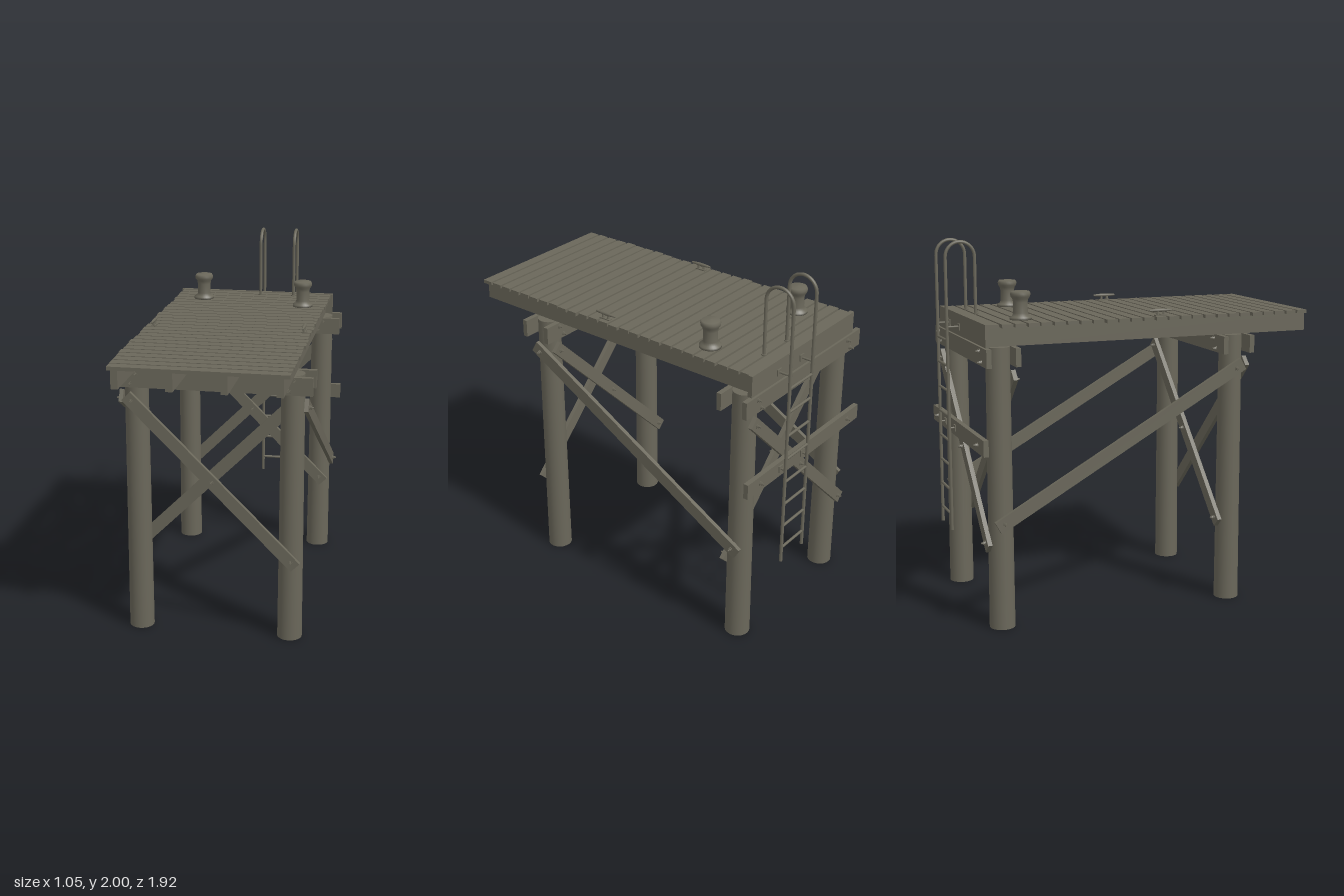
import * as THREE from 'three';

const weatheredTimber = new THREE.MeshStandardMaterial({ color: 0x6a675a });
weatheredTimber.name = 'weatheredTimber';

export function createModel() {
  const model = new THREE.Group();
  model.name = 'jetty';

  const add = (name, geometry, x = 0, y = 0, z = 0, parent = model) => {
    const mesh = new THREE.Mesh(geometry, weatheredTimber);
    mesh.name = name;
    mesh.position.set(x, y, z);
    parent.add(mesh);
    return mesh;
  };
  const box = (name, w, h, d, x, y, z, parent) =>
    add(name, new THREE.BoxGeometry(w, h, d), x, y, z, parent);

  // Straight round bar between two points
  const rod = (name, a, b, r, sides = 10) => {
    const from = new THREE.Vector3(...a), to = new THREE.Vector3(...b);
    const dir = to.clone().sub(from);
    const mesh = add(name, new THREE.CylinderGeometry(r, r, dir.length(), sides));
    mesh.position.copy(from).add(to).multiplyScalar(0.5);
    mesh.quaternion.setFromUnitVectors(new THREE.Vector3(0, 1, 0), dir.normalize());
    return mesh;
  };

  // Bolt: washer, hex nut and shank end, pointing along dir on the x or z axis
  const bolt = (x, y, z, dx, dz) => {
    const at = (d) => [x + dx * d, y, z + dz * d];
    rod('washer', at(-0.002), at(0.004), 0.013, 12);
    rod('nut', at(0.004), at(0.013), 0.009, 6);
    rod('boltEnd', at(0.013), at(0.022), 0.005, 8);
  };

  let seed = 7;
  const jitter = () => {
    seed = (seed * 16807) % 2147483647;
    return seed / 2147483647 - 0.5;
  };

  const pileX = [-0.418, 0.41];
  const pileZ = [0.508, -0.805];
  const pileR = 0.064;
  const deckY = 1.605;

  // Piles
  for (const x of pileX) for (const z of pileZ)
    add('pile', new THREE.CylinderGeometry(pileR - 0.002, pileR + 0.004, 1.49, 20), x, 0.745, z);

  // Paired cap beams, clamped on both sides of each row of piles
  for (const z of pileZ) for (const s of [1, -1]) {
    box('capBeam', 1.05, 0.095, 0.027, -0.003, 1.443, z + s * 0.077);
    for (const x of pileX) {
      bolt(x + 0.015, 1.468, z + s * 0.0905, 0, s);
      bolt(x - 0.015, 1.415, z + s * 0.0905, 0, s);
    }
  }

  // Diagonal cross braces on the front and back rows
  for (const z of pileZ) for (const s of [1, -1]) {
    // slope -1 runs from the top at -x to the bottom at +x
    const brace = box('crossBrace', 1.277, 0.066, 0.024, -0.006, 0.893, z + s * 0.076);
    const slope = z > 0 ? -s : s < 0 ? 1 : -1;
    brace.rotation.z = slope * Math.PI / 4;
    for (const t of [-0.425, 0, 0.425])
      bolt(-0.006 + t, 0.893 + slope * t, z + s * 0.088, 0, s);
  }

  // Long diagonal side braces
  for (const s of [-1, 1]) {
    const x = s > 0 ? 0.485 : -0.493;
    const dz = 1.39, dy = 0.777;
    const brace = box('sideBrace', 0.022, 0.07, Math.hypot(dz, dy), x, 0.946, -0.146);
    brace.rotation.x = -Math.atan2(dy, dz);
    bolt(x + s * 0.011, 1.31, 0.51, s, 0);
    bolt(x + s * 0.011, 0.577, -0.805, s, 0);
  }

  // Horizontal back waler
  box('waler', 1.05, 0.085, 0.027, -0.003, 0.988, -0.906);
  for (const x of pileX) bolt(x, 0.988, -0.9195, 0, -1);

  // Deck stringers and back fascia
  for (const x of [-0.415, -0.14, 0.132, 0.405])
    box('stringer', 0.036, 0.096, 1.815, x, 1.538, 0.049);
  box('backFascia', 0.935, 0.117, 0.024, -0.003, 1.5495, -0.871);

  // Deck planks with slightly uneven ends
  const count = 26, pitch = 0.0706, width = 0.058;
  for (let i = 0; i < count; i++) {
    const plank = box('plank', 0.912 + jitter() * 0.014, 0.019, width,
      -0.004 + jitter() * 0.012, deckY - 0.0095, 0.96 - width / 2 - i * pitch);
    plank.rotation.y = jitter() * 0.005;
  }

  // Mooring bollards
  const bollard = [[0, 0], [0.058, 0], [0.058, 0.013], [0.045, 0.018], [0.038, 0.035],
    [0.038, 0.09], [0.042, 0.108], [0.051, 0.12], [0.053, 0.135], [0.047, 0.147], [0, 0.151]]
    .map(([r, y]) => new THREE.Vector2(r, y));
  for (const [x, z] of [[-0.288, -0.64], [0.323, -0.525]])
    add('bollard', new THREE.LatheGeometry(bollard, 28), x, deckY, z);

  // Mooring cleats: foot plate, two legs and a tapered horn bar
  const hornProfile = [[0, -0.067], [0.005, -0.064], [0.009, -0.02], [0.009, 0.02], [0.005, 0.064], [0, 0.067]]
    .map(([r, y]) => new THREE.Vector2(r, y));
  for (const x of pileX) {
    const cleat = new THREE.Group();
    cleat.name = 'cleat';
    cleat.position.set(x, deckY, 0.095);
    box('cleatFoot', 0.024, 0.006, 0.066, 0, 0.003, 0, cleat);
    for (const s of [-1, 1])
      add('cleatLeg', new THREE.CylinderGeometry(0.006, 0.008, 0.026, 8), 0, 0.016, s * 0.017, cleat);
    add('cleatHorn', new THREE.LatheGeometry(hornProfile, 10), 0, 0.03, 0, cleat).rotation.x = Math.PI / 2;
    model.add(cleat);
  }

  // Ladder with hooped handrails
  const ladderX = [0.032, 0.233], backZ = -0.951, frontZ = -0.791, tube = 0.009;
  const hoopR = (frontZ - backZ) / 2, hoopY = 2 - tube - hoopR;
  const path = new THREE.CurvePath();
  const points = [];
  for (let i = 0; i <= 20; i++) {
    const a = Math.PI * i / 20;
    points.push(new THREE.Vector3(0, hoopY + hoopR * Math.sin(a), (backZ + frontZ) / 2 - hoopR * Math.cos(a)));
  }
  path.add(new THREE.LineCurve3(new THREE.Vector3(0, 0.42, backZ), points[0]));
  for (let i = 0; i < 20; i++) path.add(new THREE.LineCurve3(points[i], points[i + 1]));
  path.add(new THREE.LineCurve3(points[20], new THREE.Vector3(0, deckY - 0.005, frontZ)));
  for (const x of ladderX) {
    add('ladderRail', new THREE.TubeGeometry(path, 160, tube, 10), x);
    rod('railEnd', [x, 0.418, backZ], [x, 0.424, backZ], tube);
    rod('railFoot', [x, deckY, frontZ], [x, deckY + 0.006, frontZ], 0.015, 12);
    // Stand-offs to the fascia and waler
    for (const [y, z] of [[1.54, -0.883], [0.99, -0.9195]]) {
      rod('standOff', [x, y, z], [x, y, backZ], 0.006, 8);
      box('standOffPlate', 0.035, 0.035, 0.007, x, y, z - 0.003);
    }
  }
  for (let i = 0; i < 8; i++) {
    const y = 0.505 + i * 0.1375;
    rod('ladderRung', [ladderX[0], y, backZ], [ladderX[1], y, backZ], 0.0075);
  }

  return model;
}
